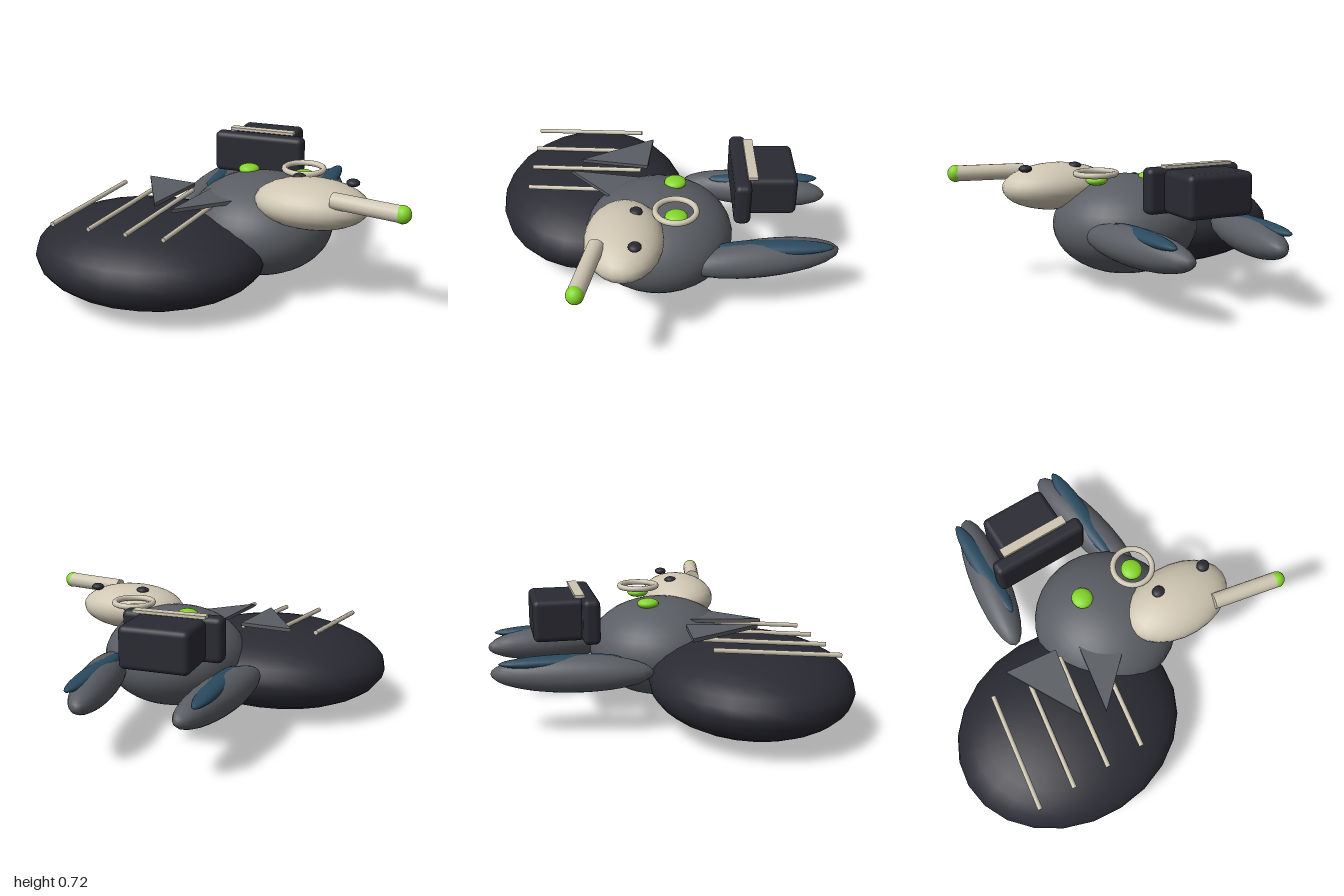
import * as THREE from 'three';
import { RoundedBoxGeometry } from 'three/addons/geometries/RoundedBoxGeometry.js';

const mat = (name, color) => {
  const m = new THREE.MeshStandardMaterial({ color });
  m.name = name;
  return m;
};

export function createModel() {
  const model = new THREE.Group();
  model.name = 'lyingDonkey';
  const dark = mat('charcoal', 0x2a2a33);
  const grey = mat('donkeyGrey', 0x5a5d63);
  const cream = mat('cream', 0xcfc6b2);
  const green = mat('brightGreen', 0x84d628);
  const blue = mat('innerEarBlue', 0x2a4a60);

  const add = (name, geometry, material, pos = [0, 0, 0]) => {
    const mesh = new THREE.Mesh(geometry, material);
    mesh.name = name;
    mesh.position.set(...pos);
    model.add(mesh);
    return mesh;
  };
  const ellipsoid = (name, material, pos, radii, segs = 24) =>
    add(name, new THREE.SphereGeometry(1, segs, Math.round(segs * 0.67)).scale(...radii), material, pos);
  // Cylinder running between two points
  const rod = (name, material, from, to, radius, sides) => {
    const a = new THREE.Vector3(...from), b = new THREE.Vector3(...to);
    const dir = b.clone().sub(a);
    const mesh = add(name, new THREE.CylinderGeometry(radius, radius, dir.length(), sides), material,
      a.clone().add(b).multiplyScalar(0.5).toArray());
    mesh.quaternion.setFromUnitVectors(new THREE.Vector3(0, 1, 0), dir.normalize());
    return mesh;
  };

  // Body, head and muzzle
  ellipsoid('body', dark, [-0.37, 0.245, 0.405], [0.63, 0.243, 0.535]);
  ellipsoid('head', grey, [0.12, 0.338, 0.022], [0.4, 0.273, 0.402], 32);
  ellipsoid('muzzle', cream, [0.455, 0.547, 0.198], [0.305, 0.128, 0.204]);

  // Nostrils and eyes
  for (const x of [0.37, 0.655]) ellipsoid('nostril', dark, [x, 0.66, 0.137], [0.036, 0.02, 0.034], 16);
  for (const x of [0.02, 0.335]) ellipsoid('eye', green, [x, 0.603, -0.068], [0.058, 0.028, 0.06], 16);

  // Eyeglass ring
  add('eyeglassRing', new THREE.TorusGeometry(0.106, 0.016, 10, 32).rotateX(Math.PI / 2), cream, [0.337, 0.64, -0.065]);

  // Ears, splayed backwards
  for (const side of [-1, 1]) {
    const ear = ellipsoid('ear', grey, [0.01 + side * 0.326, 0.332, -0.53], [0.108, 0.099, 0.42]);
    ear.rotation.y = side * 0.17;
    ellipsoid('innerEar', blue, [0.01 + side * 0.325, 0.4, -0.588], [0.055, 0.033, 0.316]);
  }

  // Hat lying on its side
  add('hatBrim', new RoundedBoxGeometry(0.54, 0.237, 0.09, 3, 0.03), dark, [-0.037, 0.586, -0.42]);
  add('hatCrown', new RoundedBoxGeometry(0.37, 0.222, 0.27, 3, 0.03), dark, [-0.037, 0.584, -0.58]);
  add('hatBand', new THREE.BoxGeometry(0.388, 0.016, 0.052), cream, [-0.037, 0.712, -0.473]);

  // Cigar with a glowing tip
  rod('cigar', cream, [0.598, 0.622, 0.327], [0.955, 0.622, 0.402], 0.043, 16);
  ellipsoid('cigarTip', green, [0.957, 0.622, 0.403], [0.044, 0.046, 0.044], 16);

  // Pinstripes across the body
  for (let i = 0; i < 4; i++) {
    const x = i * 0.205;
    rod('pinstripe', cream, [-0.652 + x, 0.509, 0.123], [-0.745 + x, 0.472, 0.752], 0.013, 8);
  }

  // Flat triangular collar points, given as [x, z] corners
  const collars = [
    [[-0.53, 0.053], [-0.243, 0.085], [-0.313, 0.46]],
    [[-0.129, 0.138], [0.127, 0.215], [-0.195, 0.513]],
  ];
  for (const corners of collars) {
    const shape = new THREE.Shape(corners.map(([x, z]) => new THREE.Vector2(x, -z)));
    const plate = new THREE.ExtrudeGeometry(shape, { depth: 0.02, bevelEnabled: false }).rotateX(-Math.PI / 2);
    add('collarPoint', plate, grey, [0, 0.518, 0]);
  }
  return model;
}
